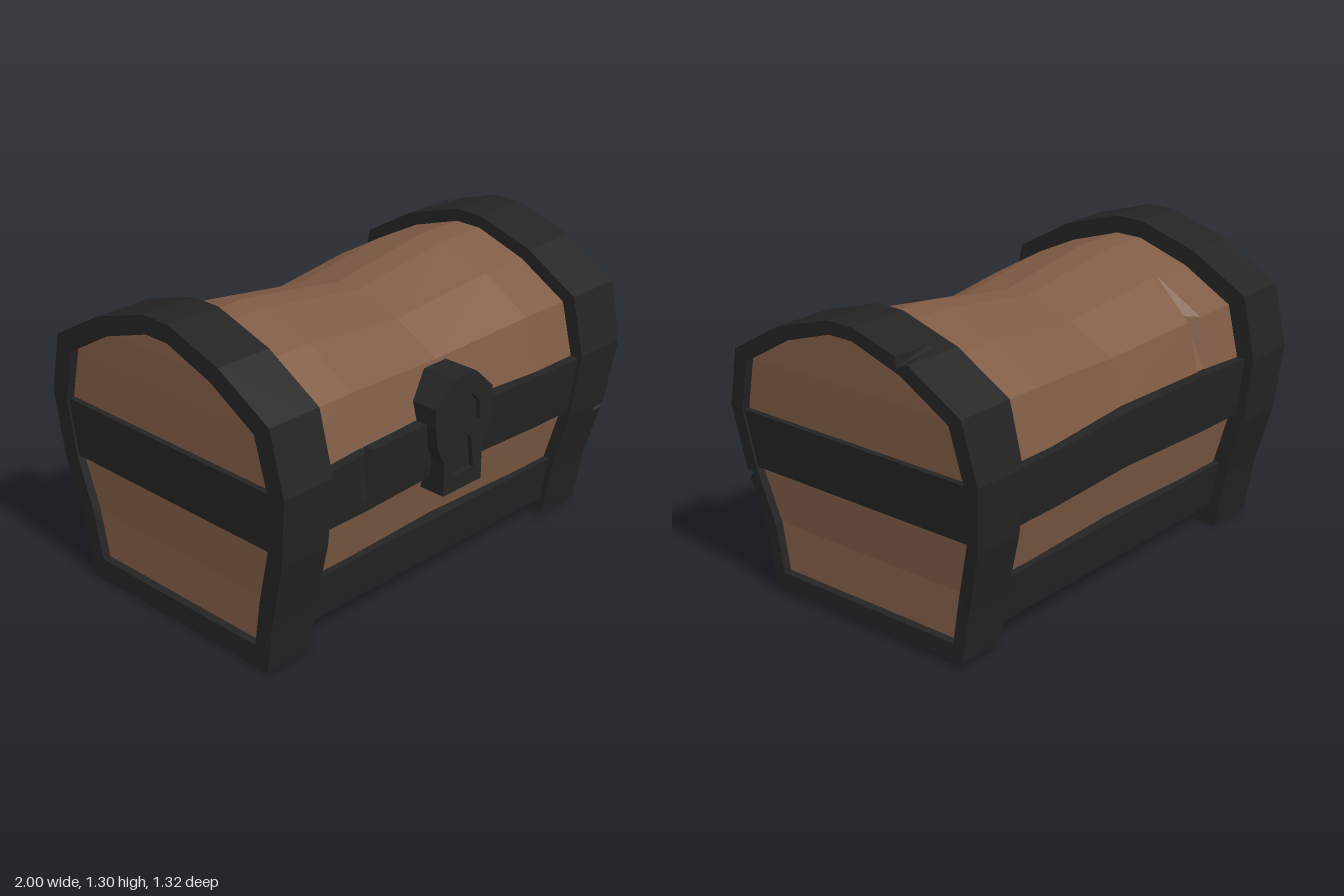
import * as THREE from 'three';

const wood = new THREE.MeshStandardMaterial({ color: 0x805c45 });
wood.name = 'brown wood';
const iron = new THREE.MeshStandardMaterial({ color: 0x242424 });
iron.name = 'dark iron';

// Half profiles as [z, y], from the bottom up
const inner = [[0.455, 0.095], [0.49, 0.3], [0.555, 0.54], [0.577, 0.79], [0.52, 1.015], [0.295, 1.145], [0.058, 1.222]];
const outerLarge = [[0.52, 0], [0.56, 0.25], [0.63, 0.51], [0.662, 0.8], [0.6, 1.065], [0.34, 1.213], [0.07, 1.297]];
const outerSmall = [[0.5, 0.025], [0.54, 0.26], [0.607, 0.52], [0.64, 0.8], [0.58, 1.05], [0.335, 1.193], [0.065, 1.275]];

// Outward lean of the two ends, one value per profile point
const ends = [
  { side: 1, outer: outerSmall, xOut: [0.92, 0.922, 0.95, 0.985, 1, 1, 1], xIn: [0.7, 0.7, 0.715, 0.735, 0.737, 0.737, 0.737] },
  { side: -1, outer: outerLarge, xOut: [0.96, 0.965, 0.98, 0.994, 1, 1, 0.995], xIn: [0.73, 0.735, 0.745, 0.75, 0.755, 0.752, 0.75] },
];

const lerp = THREE.MathUtils.lerp;
const mix = (a, b, t) => a.map((v, i) => lerp(v, b[i], t));

// Joins rings of [x, y, z] points into a solid with flat facets
function loft(rings, loop = false) {
  const tris = [];
  const quad = (a, b, c, d) => tris.push(a, b, c, a, c, d);
  const n = rings[0].length;
  const last = loop ? rings.length : rings.length - 1;
  for (let i = 0; i < last; i++) {
    const r = rings[i], s = rings[(i + 1) % rings.length];
    for (let j = 0; j < n; j++) {
      const k = (j + 1) % n;
      quad(r[j], r[k], s[k], s[j]);
    }
  }
  if (!loop) {
    const a = rings[0], b = rings[rings.length - 1];
    for (let j = 0; j < n / 2 - 1; j++) {
      quad(a[n - 1 - j], a[n - 2 - j], a[j + 1], a[j]);
      quad(b[j], b[j + 1], b[n - 2 - j], b[n - 1 - j]);
    }
  }
  // turn the faces outward
  const V = (p) => new THREE.Vector3(...p);
  let volume = 0;
  for (let i = 0; i < tris.length; i += 3) volume += V(tris[i]).dot(V(tris[i + 1]).cross(V(tris[i + 2])));
  if (volume < 0) tris.reverse();
  const g = new THREE.BufferGeometry();
  g.setAttribute('position', new THREE.Float32BufferAttribute(tris.flat(), 3));
  g.computeVertexNormals();
  return g;
}

function add(group, name, geometry, material) {
  const m = new THREE.Mesh(geometry, material);
  m.name = name;
  group.add(m);
  return m;
}

// How much the middle of the chest sags
const sag = (x) => Math.max(0, 1 - Math.abs(x) / 0.5);

// Wooden body, with a chip in the back shoulder
function bodyGeometry() {
  const rings = [-2, -0.545, -0.51, -0.465, 0, 0.5, 2].map((x) => {
    const end = Math.abs(x) > 1 ? ends[x > 0 ? 0 : 1] : null;
    const t = end ? 0 : sag(x);
    const half = (s) => inner.map(([z, y], i) => {
      const sy = y > 0.8 ? y - t * (y - 0.79) * 0.17 : y;
      const chip = s < 0 && i === 4 && x === -0.51 ? 0.06 : 0;
      const sz = z * (1 - t * (i > 2 ? 0.085 : 0.04)) + 0.005 - chip;
      return [end ? end.side * (end.xOut[i] - 0.035) : x, sy, s * sz];
    });
    return [...half(1), ...half(-1).reverse()];
  });
  return loft(rings);
}

// End frame: a window-shaped ring, optionally nicked along its outer edge
function frameGeometry({ side, outer, xOut, xIn }) {
  const half = (s) => outer.map(([z, y], i) => [s * z, y, s * inner[i][0], inner[i][1], xOut[i], xIn[i], 0]);
  const path = [...half(1), ...half(-1).reverse()];
  const points = [];
  path.forEach((p, i) => {
    points.push(p);
    const next = path[(i + 1) % path.length];
    const nick = (t, w, depth) => {
      for (const d of [-w, 0, w]) {
        const q = mix(p, next, t + d);
        q[6] = d === 0 ? depth : 0;
        points.push(q);
      }
    };
    if (side > 0 && i === 1) nick(0.93, 0.06, 0.6);
    if (side > 0 && i === 7) nick(0.87, 0.11, 0.7);
  });
  const rings = points.map(([pz, py, qz, qy, xo, xi, cut]) => [
    [side * xi, py, pz],
    [side * lerp(xi, xo, py > 1 ? 0.35 : 0.75), py, pz],
    [side * xo, lerp(py, qy, cut), lerp(pz, qz, cut)],
    [side * xo, qy, qz],
    [side * xi, qy, qz],
  ]);
  return loft(rings, true);
}

// Long belt across the front or back; the front one has a nick
function beltGeometry(s) {
  const rings = [-0.85, -0.54, -0.51, -0.485, 0, 0.5, 0.85].map((x) => {
    const k = 1 - 0.04 * sag(x);
    const top = x < -0.45 && x > -0.6 ? 0.808 : 0.79;
    const cut = s > 0 && x === -0.51 ? 0.045 : 0;
    return [
      [x, 0.54, s * 0.45], [x, 0.54, s * 0.59 * k], [x, 0.6, s * 0.6 * k],
      [x, top, s * (0.62 * k - cut)], [x, top, s * 0.45], [x, 0.6, s * 0.45],
    ];
  });
  return loft(rings);
}

// Lower band across the front or back
const lowBandGeometry = (s) => loft([-0.82, 0.82].map((x) => [
  [x, 0.092, s * 0.42], [x, 0.092, s * 0.485], [x, 0.3, s * 0.525], [x, 0.3, s * 0.42],
]));

// Belt set into an end panel
const endBeltGeometry = ({ side, xOut }) => loft([[0.54, 0.57, 2], [0.79, 0.59, 3]].map(([y, z, i]) => {
  const a = side * (xOut[i] - 0.1), b = side * (xOut[i] - 0.01);
  return [[a, y, -z], [b, y, -z], [b, y, z], [a, y, z]];
}));

// Lock plate with a sunken keyhole
function addLock(group) {
  const lock = new THREE.Group();
  lock.name = 'lock';
  const plate = [[-0.065, 0.965], [-0.165, 0.87], [-0.165, 0.79], [-0.15, 0.7], [-0.112, 0.62], [-0.112, 0.48]];
  const mirrored = (pts) => [...pts, ...pts.map(([x, y]) => [-x, y]).reverse()].map((p) => new THREE.Vector2(...p));
  const outline = mirrored(plate);
  const keyhole = mirrored([[-0.045, 0.873], [-0.093, 0.825], [-0.093, 0.75], [-0.045, 0.69], [-0.063, 0.55]]);
  const face = new THREE.Shape(outline);
  face.holes.push(new THREE.Path(keyhole));
  const extrude = (shape, depth) => new THREE.ExtrudeGeometry(shape, { depth, bevelEnabled: false });
  add(lock, 'lockFace', extrude(face, 0.02), iron).position.z = 0.628;
  add(lock, 'lockBack', extrude(new THREE.Shape(outline), 0.138), iron).position.z = 0.49;
  lock.position.x = -0.016;
  group.add(lock);
}

export function createModel() {
  const chest = new THREE.Group();
  chest.name = 'chest';
  add(chest, 'woodenBody', bodyGeometry(), wood);
  for (const end of ends) {
    const label = end.side > 0 ? 'left' : 'right';
    add(chest, label + 'EndFrame', frameGeometry(end), iron);
    add(chest, label + 'EndBelt', endBeltGeometry(end), iron);
  }
  for (const s of [1, -1]) {
    const label = s > 0 ? 'front' : 'back';
    add(chest, label + 'Belt', beltGeometry(s), iron);
    add(chest, label + 'LowerBand', lowBandGeometry(s), iron);
  }
  addLock(chest);
  return chest;
}
